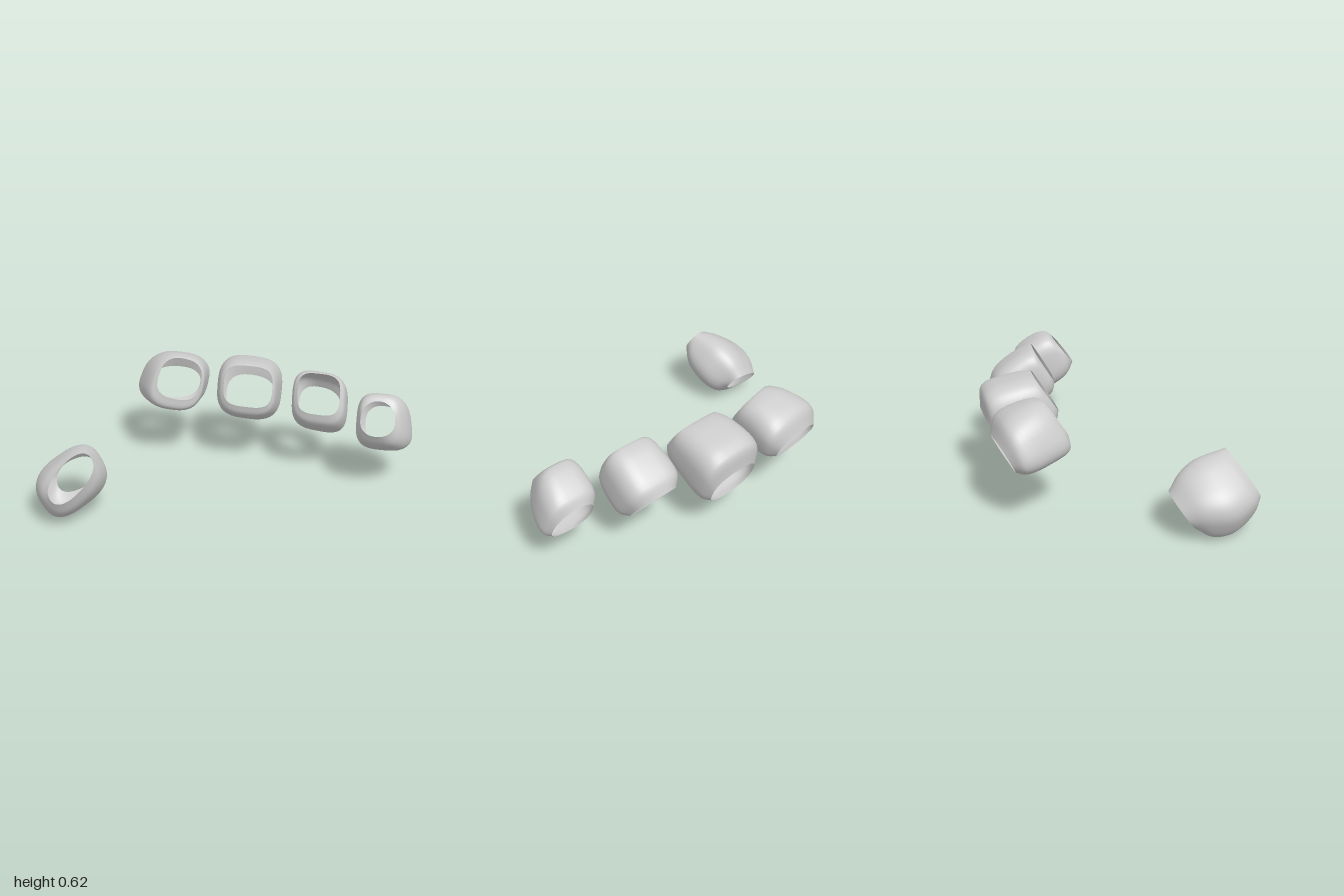
import * as THREE from 'three';

const AROUND = 48, ALONG = 20;

// Point on a rounded-rectangle loop of radius 1 (superellipse)
function loopPoint(t, power) {
  const c = Math.cos(t), s = Math.sin(t), e = 2 / power;
  return [Math.sign(c) * Math.abs(c) ** e, Math.sign(s) * Math.abs(s) ** e];
}

// Open, barrel-shaped sleeve running from the front rim to the back rim.
// rings: [centre x, half width, top y, top z, bottom y, bottom z]
// slopeY, slopeZ: rise of the width direction; lean: sideways tilt of the top
// (each as [front, back]); taper: widening of the bottom
// power: squareness of the front rim, the body and the back rim
function sleeve(name, { slopeY, slopeZ, lean, taper, power }, rings) {
  const points = [], index = [], columns = [];
  const last = rings.length - 1;
  for (let j = 0; j < AROUND; j++) {
    const t = (j / AROUND) * Math.PI * 2;
    const path = rings.map(([x, hw, yT, zT, yB, zB], i) => {
      const mix = ([front, back]) => THREE.MathUtils.lerp(front, back, i / last);
      const [u, v] = loopPoint(t, power[i === 0 ? 0 : i === last ? 2 : 1]);
      const h = (yT - yB) / 2, side = u * hw;
      return new THREE.Vector3(
        x + side * (1 - taper * v) + v * h * mix(lean),
        (yT + yB) / 2 + v * h + side * mix(slopeY),
        (zT + zB) / 2 + (v * (zT - zB)) / 2 + side * mix(slopeZ));
    });
    columns.push(new THREE.CatmullRomCurve3(path));
  }
  for (let i = 0; i <= ALONG; i++) {
    for (let j = 0; j < AROUND; j++) {
      points.push(columns[j].getPoint(i / ALONG));
      if (i === ALONG) continue;
      const k = (j + 1) % AROUND, a = i * AROUND, b = a + AROUND;
      index.push(a + j, b + j, a + k, a + k, b + j, b + k);
    }
  }
  const geometry = new THREE.BufferGeometry().setFromPoints(points);
  geometry.setIndex(index);
  geometry.computeVertexNormals();
  const mesh = new THREE.Mesh(geometry,
    new THREE.MeshStandardMaterial({ color: 0xcccccc, side: THREE.DoubleSide }));
  mesh.name = name;
  return mesh;
}

export function createModel() {
  const group = new THREE.Group();
  group.name = 'fingerSleeves';
  group.add(
    // Thumb: front rim rolled well over, straightening towards the back
    sleeve('thumbSleeve', {
      slopeY: [1, 0.4], slopeZ: [-0.7, -0.25], lean: [-0.9, -0.3], taper: 0, power: [2.3, 2.7, 2.3],
    }, [
      [-0.765, 0.097, 0.345, 0.545, 0.23, 0.60],
      [-0.78, 0.125, 0.34, 0.50, 0.145, 0.55],
      [-0.81, 0.153, 0.32, 0.38, 0.06, 0.425],
      [-0.825, 0.14, 0.28, 0.27, 0.04, 0.345],
      [-0.83, 0.105, 0.21, 0.185, 0.075, 0.29],
    ]),
    // Index: rolled slightly the other way, flaring outwards at the back
    sleeve('indexSleeve', {
      slopeY: [-0.2, -0.08], slopeZ: [-0.1, -0.1], lean: [0.2, 0.3], taper: 0.06, power: [2.7, 2.7, 2.4],
    }, [
      [-0.345, 0.12, 0.605, -0.40, 0.405, -0.27],
      [-0.36, 0.145, 0.61, -0.42, 0.345, -0.27],
      [-0.39, 0.175, 0.605, -0.49, 0.30, -0.38],
      [-0.42, 0.195, 0.55, -0.62, 0.275, -0.52],
      [-0.43, 0.15, 0.45, -0.66, 0.285, -0.57],
    ]),
    sleeve('middleSleeve', {
      slopeY: [-0.05, -0.1], slopeZ: [0, 0], lean: [0, 0.08], taper: 0, power: [3.4, 3, 2.5],
    }, [
      [0.055, 0.14, 0.595, -0.37, 0.395, -0.24],
      [0.05, 0.16, 0.60, -0.39, 0.34, -0.255],
      [0.04, 0.18, 0.595, -0.48, 0.265, -0.37],
      [0.035, 0.183, 0.54, -0.645, 0.205, -0.52],
      [0.03, 0.145, 0.42, -0.66, 0.205, -0.57],
    ]),
    sleeve('ringSleeve', {
      slopeY: [-0.05, -0.14], slopeZ: [0.05, 0.07], lean: [0, 0], taper: 0, power: [3.4, 3.2, 2.5],
    }, [
      [0.465, 0.12, 0.60, -0.30, 0.40, -0.18],
      [0.465, 0.145, 0.60, -0.32, 0.34, -0.19],
      [0.465, 0.157, 0.575, -0.39, 0.27, -0.26],
      [0.46, 0.157, 0.48, -0.52, 0.225, -0.35],
      [0.46, 0.125, 0.41, -0.555, 0.225, -0.395],
    ]),
    // Little finger: wider along the bottom
    sleeve('littleSleeve', {
      slopeY: [0, -0.05], slopeZ: [0, 0.06], lean: [0, -0.1], taper: 0.08, power: [2.2, 3.2, 2.4],
    }, [
      [0.805, 0.095, 0.53, -0.12, 0.37, 0],
      [0.815, 0.12, 0.55, -0.15, 0.30, -0.04],
      [0.83, 0.145, 0.54, -0.21, 0.23, -0.13],
      [0.845, 0.147, 0.46, -0.325, 0.205, -0.23],
      [0.85, 0.118, 0.40, -0.355, 0.205, -0.27],
    ]),
  );
  return group;
}
